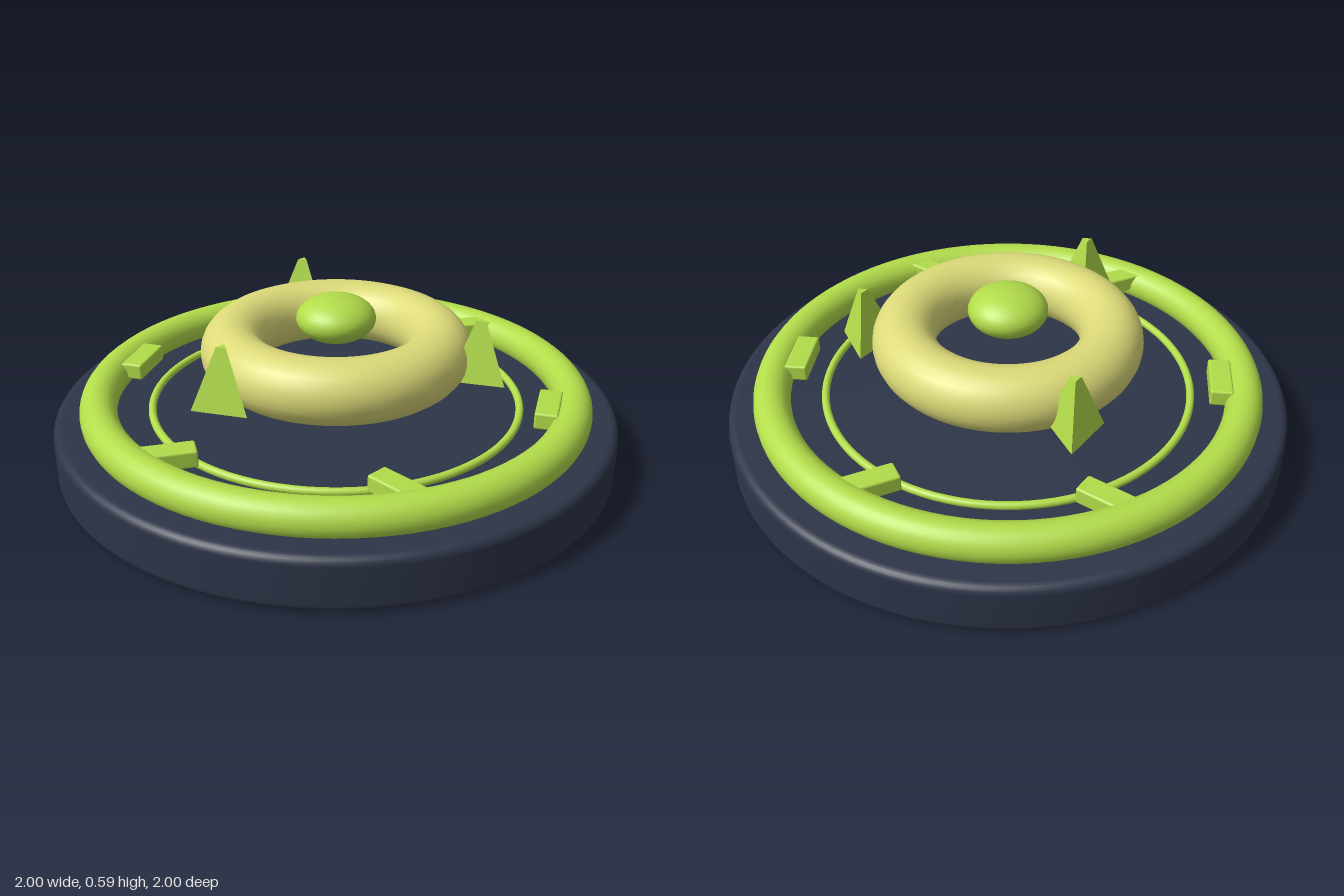
import * as THREE from 'three';
import { RoundedBoxGeometry } from 'three/addons/geometries/RoundedBoxGeometry.js';

export function createModel() {
  const model = new THREE.Group();
  const navy = new THREE.MeshStandardMaterial({ name: 'navy', color: 0x2d3548 });
  const lime = new THREE.MeshStandardMaterial({ name: 'lime', color: 0xb2dc4a });
  const straw = new THREE.MeshStandardMaterial({ name: 'straw', color: 0xdcda78 });

  const add = (name, geometry, material, x = 0, y = 0, z = 0) => {
    const mesh = new THREE.Mesh(geometry, material);
    mesh.name = name;
    mesh.position.set(x, y, z);
    model.add(mesh);
    return mesh;
  };
  const ring = (name, radius, tube, y, material) =>
    add(name, new THREE.TorusGeometry(radius, tube, 24, 96).rotateX(-Math.PI / 2), material, 0, y);

  // Round base: flat caps and wall with softly rounded rims
  const H = 0.19, r = 0.03;
  const rim = [];
  for (let i = 0; i <= 6; i++) {
    const a = (i / 6) * Math.PI / 2;
    rim.push(new THREE.Vector2(1 - r + r * Math.sin(a), r - r * Math.cos(a)));
  }
  const top = rim.map((p) => new THREE.Vector2(p.x, H - p.y)).reverse();
  add('baseRim', new THREE.LatheGeometry([...rim, ...top], 96), navy);
  const cap = () => new THREE.CircleGeometry(1 - r, 96);
  add('baseTop', cap().rotateX(-Math.PI / 2), navy, 0, H);
  add('baseBottom', cap().rotateX(Math.PI / 2), navy);

  // Concentric rings and centre dome
  ring('outerRing', 0.842, 0.065, 0.225, lime);
  ring('thinRing', 0.657, 0.014, 0.2, lime);
  ring('centerRing', 0.365, 0.112, 0.4, straw);
  add('centerDome', new THREE.SphereGeometry(0.14, 40, 24), lime, 0, 0.51).scale.y = 0.58;

  // Six small blocks along the inside of the outer ring
  for (let i = 0; i < 6; i++) {
    const a = (i * Math.PI) / 3;
    const block = add('block', new RoundedBoxGeometry(0.08, 0.06, 0.2, 2, 0.008), lime,
      0.757 * Math.cos(a), 0.25, 0.757 * Math.sin(a));
    block.rotation.y = a;
  }

  // Three blunt three-sided spikes around the centre ring
  const spike = new THREE.CylinderGeometry(0.02, 0.112, 0.215, 3).rotateY(Math.PI).toNonIndexed();
  spike.computeVertexNormals();
  for (let i = 0; i < 3; i++) {
    const a = (i * Math.PI * 2) / 3;
    add('spike', spike, lime, 0.51 * Math.cos(a), 0.448, 0.51 * Math.sin(a));
  }
  return model;
}
